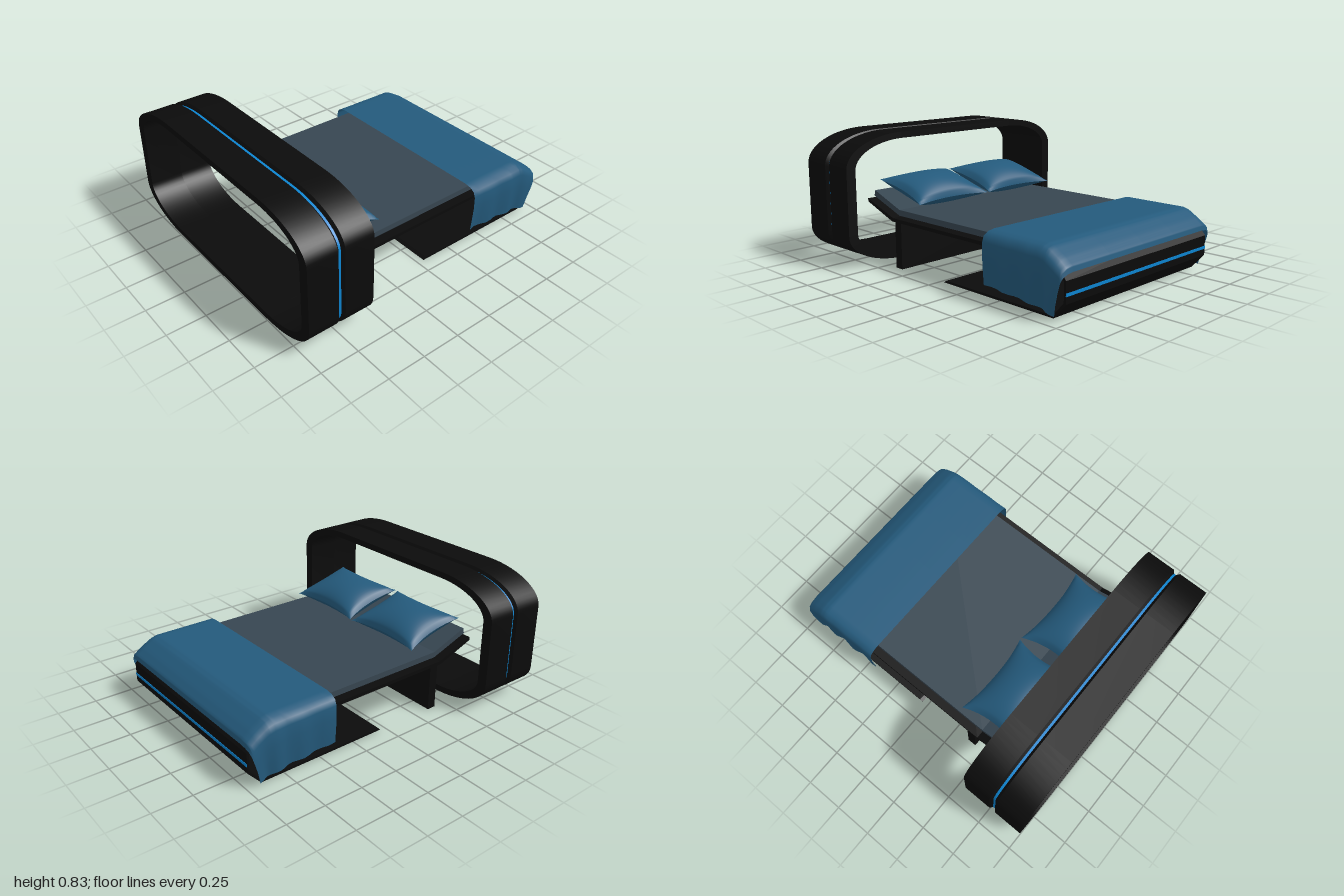
import * as THREE from 'three';
import { mergeGeometries, mergeVertices, toCreasedNormals } from 'three/addons/utils/BufferGeometryUtils.js';

const mat = (name, color, side = THREE.FrontSide) => {
  const m = new THREE.MeshStandardMaterial({ color, side });
  m.name = name;
  return m;
};

// Grid of points: rows of equal length, joined into a surface
function gridGeometry(rows, closed) {
  const n = rows[0].length, index = [];
  for (let s = 0; s < rows.length - 1; s++) {
    for (let j = 0; j < (closed ? n : n - 1); j++) {
      const k = (j + 1) % n;
      const a = s * n + j, b = a + n, c = s * n + k, d = c + n;
      index.push(a, b, c, b, d, c);
    }
  }
  const g = new THREE.BufferGeometry();
  g.setAttribute('position', new THREE.Float32BufferAttribute(rows.flat(2), 3));
  g.setIndex(index);
  g.computeVertexNormals();
  return g;
}

// Rounded loop in the z-y plane with elliptical corners, at a given x
function loopAt(x, hz, hy, rz, ry) {
  const pts = [], steps = 14;
  for (let q = 0; q < 4; q++) {
    const sz = q === 0 || q === 3 ? 1 : -1, sy = q < 2 ? 1 : -1;
    for (let i = 0; i <= steps; i++) {
      const a = (q + i / steps) * Math.PI / 2;
      pts.push([x, 0.42 + sy * (hy - ry) + ry * Math.sin(a), sz * (hz - rz) + rz * Math.cos(a)]);
    }
  }
  return pts;
}
const outer = x => loopAt(x, 0.905, 0.41, 0.42, 0.2);
const groove = x => loopAt(x, 0.887, 0.393, 0.405, 0.187);
const inner = x => loopAt(x, 0.84, 0.37, 0.36, 0.17);

// Side profile (x, y) extruded across the bed's width
function slab(points, z0, z1) {
  const shape = new THREE.Shape(points.map(p => new THREE.Vector2(...p)));
  return new THREE.ExtrudeGeometry(shape, { depth: z1 - z0, bevelEnabled: false }).translate(0, 0, z0);
}

// Puffed cushion with pinched corners
function pillowGeometry() {
  const sheet = sign => {
    const g = new THREE.PlaneGeometry(2, 2, 28, 28).rotateX(-sign * Math.PI / 2);
    const p = g.attributes.position;
    for (let i = 0; i < p.count; i++) {
      const u = p.getX(i), v = p.getZ(i);
      const eu = Math.max(0, 1 - u * u), ev = Math.max(0, 1 - v * v);
      const puff = 0.087 * Math.pow(eu * ev, 0.5);
      p.setXYZ(i, 0.21 * u * (1 - 0.16 * ev), sign * puff, 0.285 * v * (1 - 0.13 * eu));
    }
    g.computeVertexNormals();
    return g;
  };
  return mergeGeometries([sheet(1), sheet(-1)]);
}

// Throw draped over the foot: stations are [topX, topY, hemX, hemY]
function blanketGeometry() {
  const stations = [
    [0.415, 0.39, 0.412, 0.08], [0.6, 0.39, 0.6, 0.068], [0.75, 0.39, 0.74, 0.058],
    [0.83, 0.39, 0.81, 0.05], [0.87, 0.378, 0.845, 0.045], [0.94, 0.335, 0.89, 0.035],
    [0.988, 0.297, 0.93, 0.025], [0.996, 0.265, 0.925, 0.03]
  ];
  // Half section: [half width, fraction of the drop]
  const half = [[0.672, 1], [0.68, 0.75], [0.688, 0.45], [0.688, 0.2], [0.676, 0.09], [0.645, 0.025], [0.6, 0], [0.3, 0]];
  const section = [...half.map(([z, t]) => [z, t]), [0, 0], ...half.slice().reverse().map(([z, t]) => [-z, t])];
  const rows = [];
  for (let s = 0; s < stations.length - 1; s++) {
    for (let k = 0; k < (s === stations.length - 2 ? 5 : 4); k++) {
      const [tx, ty, hx, hy] = stations[s].map((v, i) => THREE.MathUtils.lerp(v, stations[s + 1][i], k / 4));
      rows.push(section.map(([z, t]) => {
        const fold = 0.009 * t * Math.sin(tx * 34 + Math.sign(z));
        return [tx + (hx - tx) * t, ty + (hy - ty) * t, 0.015 + z + Math.sign(z) * fold];
      }));
    }
  }
  return gridGeometry(rows, false);
}

export function createModel() {
  const black = mat('black lacquer', 0x0b0b0b);
  const glow = mat('bright blue trim', 0x0c84d0);
  const slate = mat('slate mattress', 0x374651);
  const cloth = mat('blue cloth', 0x245a7c);
  const throwCloth = mat('blue throw', 0x245a7c, THREE.DoubleSide);

  const model = new THREE.Group();
  model.name = 'bed';
  const add = (name, geometry, material) => {
    const mesh = new THREE.Mesh(geometry, material);
    mesh.name = name;
    model.add(mesh);
    return mesh;
  };

  // Upright loop around the head, with a V groove holding a bright strip
  const crisp = rows => toCreasedNormals(gridGeometry(rows, true), 0.5);
  add('headLoopRear', crisp([inner(-0.785), inner(-1), outer(-1), outer(-0.805), groove(-0.79)]), black);
  add('headLoopFront', crisp([groove(-0.775), outer(-0.76), outer(-0.57), inner(-0.57), inner(-0.785)]), black);
  add('headLoopStrip', crisp([groove(-0.79), groove(-0.775)]), glow);

  // Folded ribbon: sloping head, flat deck, chamfered foot and floor plate
  const zMin = -0.635, zMax = 0.665;
  add('frame', slab([
    [-0.7, 0.405], [-0.44, 0.315], [0.91, 0.315], [0.99, 0.225], [0.99, 0.1], [0.905, 0.006], [0.04, 0.006],
    [0.06, 0.02], [0.9, 0.02], [0.975, 0.105], [0.975, 0.22], [0.9, 0.293], [-0.45, 0.293], [-0.7, 0.385]
  ], zMin, zMax), black);
  add('footStrip', new THREE.BoxGeometry(0.006, 0.018, zMax - zMin).translate(0.99, 0.15, 0.015), glow);
  add('legPanel', new THREE.BoxGeometry(0.058, 0.297, zMax - zMin).translate(-0.39, 0.1485, 0.015), black);

  // Thin mattress following the deck
  add('mattress', slab([
    [-0.69, 0.452], [-0.44, 0.36], [0.88, 0.36], [0.9, 0.34], [0.89, 0.323], [-0.44, 0.323], [-0.7, 0.415]
  ], -0.585, 0.615), slate);

  // Pillows leaning on the sloping head
  for (const [name, z] of [['leftPillow', 0.307], ['rightPillow', -0.278]]) {
    const pillow = add(name, pillowGeometry(), cloth);
    pillow.position.set(-0.465, 0.468, z);
    pillow.rotation.z = -0.26;
  }

  add('throwBlanket', mergeVertices(blanketGeometry()), throwCloth);
  return model;
}
